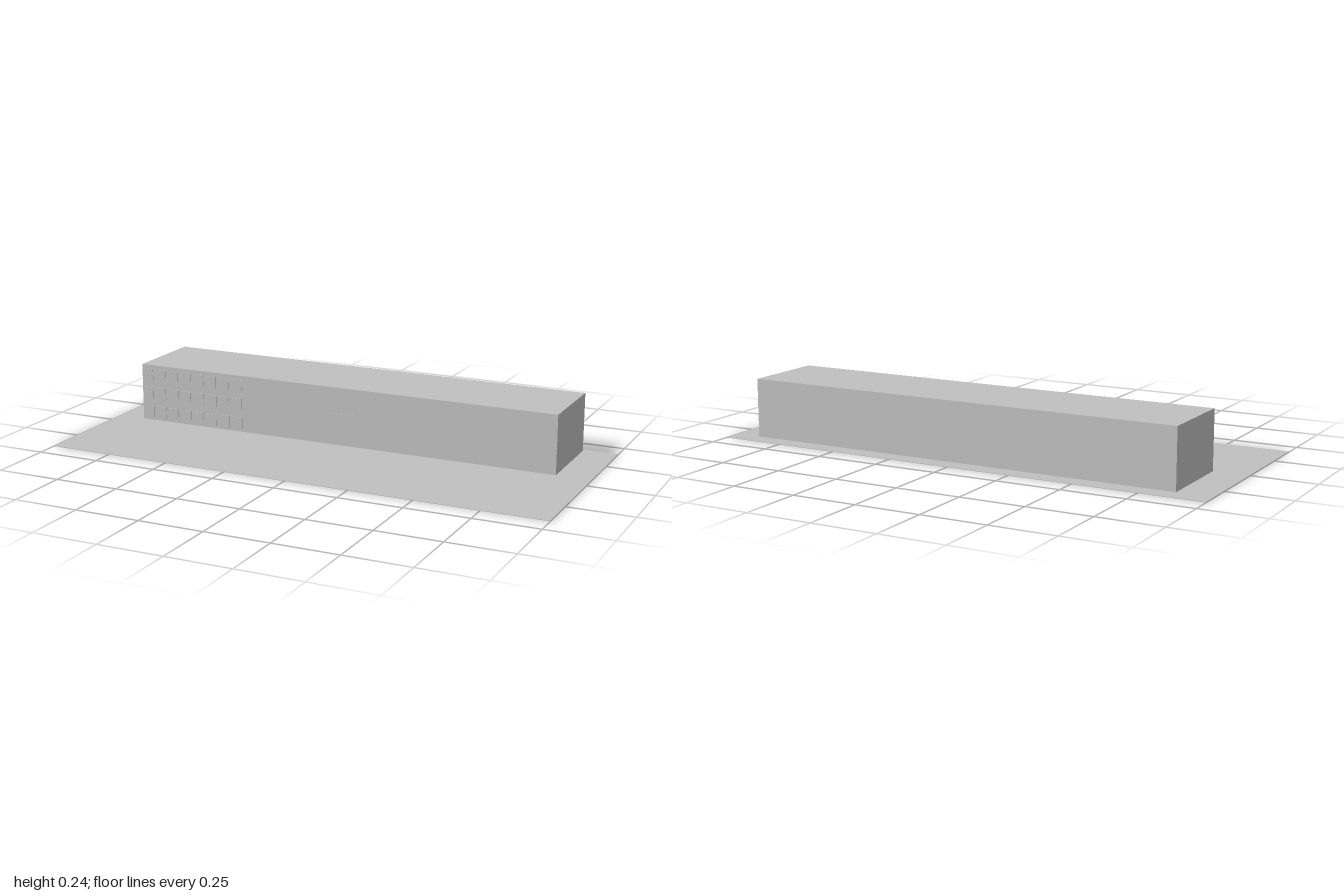
import * as THREE from 'three';

export function createModel() {
  const model = new THREE.Group();
  const grey = new THREE.MeshStandardMaterial({ color: 0xc0c0c0 });
  grey.name = 'concreteGrey';

  // Box given by its lower and upper limits on each axis
  function block(name, [x0, x1], [y0, y1], [z0, z1], parent = model) {
    const mesh = new THREE.Mesh(new THREE.BoxGeometry(x1 - x0, y1 - y0, z1 - z0), grey);
    mesh.position.set((x0 + x1) / 2, (y0 + y1) / 2, (z0 + z1) / 2);
    mesh.name = name;
    parent.add(mesh);
  }

  // Thin site slab
  block('ground', [-1, 1], [0, 0.002], [-0.415, 0.415]);

  // Long building raised slightly on a low plinth
  const front = -0.041;
  block('plinth', [-0.12, 0.63], [0.002, 0.01], [-0.27, -0.145]);
  block('building', [-0.875, 0.873], [0.01, 0.238], [-0.374, front]);

  // Three rows of eight windows at the right end of the facade
  const windows = new THREE.Group();
  windows.name = 'windows';
  model.add(windows);
  for (const y of [0.022, 0.099, 0.175]) {
    for (let i = 0; i < 8; i++) {
      const x = -0.867 + i * 0.058;
      block('window', [x, x + 0.042], [y, y + 0.046], [front, front + 0.003], windows);
    }
  }

  // Plain sign panel in the middle of the facade
  block('signPanel', [-0.096, 0.092], [0.096, 0.135], [front, front + 0.002]);

  return model;
}
